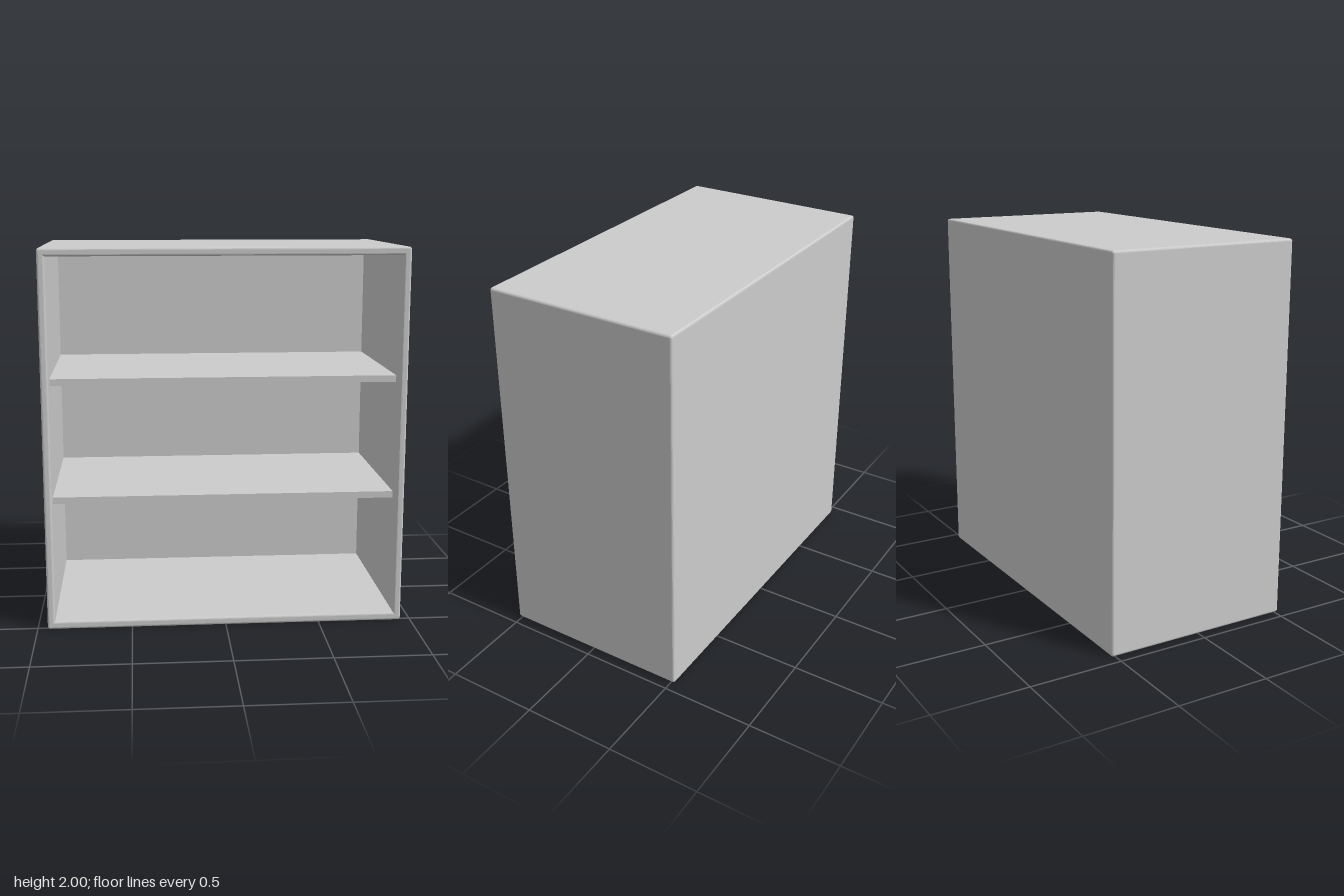
import * as THREE from 'three';

const W = 1.895, H = 2, D = 1.04;   // outer size
const WALL = 0.04, BACK = 0.012;    // board thicknesses
const BEVEL = 0.012;

// Rectangle outline with optional rounded corners, centred on the origin
function rect(target, w, h, r) {
  const x = w / 2, y = h / 2;
  if (!r) {
    target.moveTo(-x, -y).lineTo(x, -y).lineTo(x, y).lineTo(-x, y).closePath();
    return target;
  }
  target.absarc(x - r, -y + r, r, -Math.PI / 2, 0, false);
  target.absarc(x - r, y - r, r, 0, Math.PI / 2, false);
  target.absarc(-x + r, y - r, r, Math.PI / 2, Math.PI, false);
  target.absarc(-x + r, -y + r, r, Math.PI, Math.PI * 1.5, false);
  target.closePath();
  return target;
}

export function createModel() {
  const group = new THREE.Group();
  group.name = 'bookcase';
  const material = new THREE.MeshStandardMaterial({ color: 0xcccccc });

  const add = (name, geometry, x, y, z) => {
    const mesh = new THREE.Mesh(geometry, material);
    mesh.name = name;
    mesh.position.set(x, y, z);
    group.add(mesh);
  };

  const innerW = W - 2 * WALL, innerH = H - 2 * WALL - 0.005;

  // Sides, top and bottom as one frame with softened edges
  const outline = rect(new THREE.Shape(), W, H, 0.014);
  outline.holes.push(rect(new THREE.Path(), innerW, innerH, 0));
  const frame = new THREE.ExtrudeGeometry(outline, {
    depth: D - 2 * BEVEL, curveSegments: 4,
    bevelThickness: BEVEL, bevelSize: BEVEL, bevelOffset: -BEVEL, bevelSegments: 4,
  });
  add('frame', frame, 0, H / 2, -D / 2 + BEVEL);

  // Thin back panel, overlapping the frame's rear edge
  const lap = 0.03;
  add('backPanel', new THREE.BoxGeometry(innerW + lap, innerH + lap, BACK), 0, H / 2, -D / 2 + BACK / 2);

  // Two shelves, set back from the front
  const shelfBack = -D / 2 + BACK, shelfFront = 0.42;
  const shelf = new THREE.BoxGeometry(innerW, 0.035, shelfFront - shelfBack);
  [0.677, 1.308].forEach((y, i) =>
    add(i ? 'upperShelf' : 'lowerShelf', shelf, 0, y, (shelfFront + shelfBack) / 2));

  return group;
}
